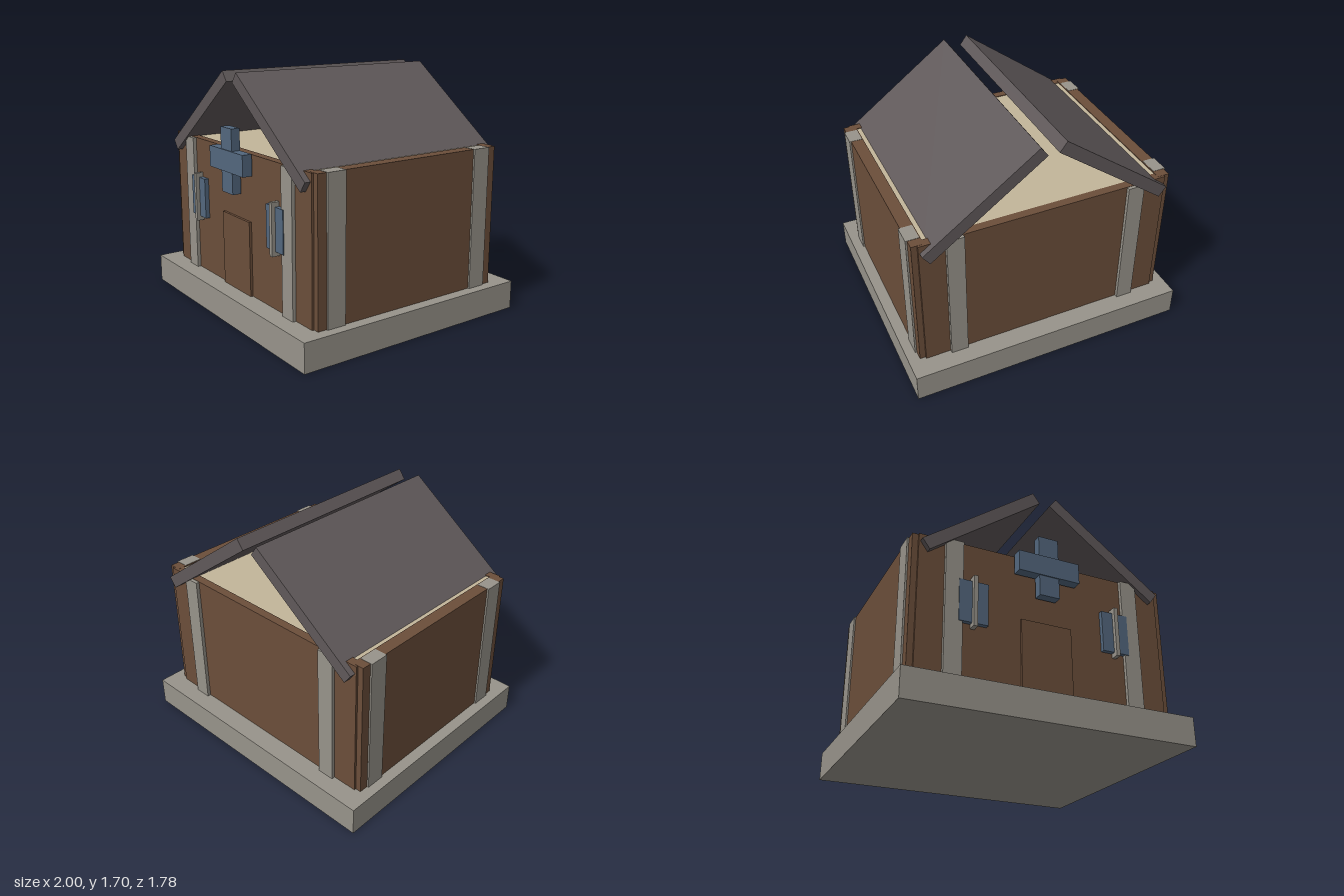
import * as THREE from 'three';

const flat = (name, color) => {
  const m = new THREE.MeshStandardMaterial({ color });
  m.name = name;
  return m;
};

export function createModel() {
  const stone = flat('stone', 0x97938a);
  const wood = flat('brown wood', 0x6b4e3a);
  const blue = flat('blue paint', 0x53677e);
  const slate = flat('roof slate', 0x5f5859);
  const plaster = flat('cream plaster', 0xc2b59a);

  const model = new THREE.Group();
  model.name = 'house';

  // Box given by its extents on each axis
  const box = (name, mat, [x0, x1], [y0, y1], [z0, z1]) => {
    const mesh = new THREE.Mesh(new THREE.BoxGeometry(x1 - x0, y1 - y0, z1 - z0), mat);
    mesh.position.set((x0 + x1) / 2, (y0 + y1) / 2, (z0 + z1) / 2);
    mesh.name = name;
    model.add(mesh);
    return mesh;
  };
  // Extent mirrored to the side given by s
  const side = (s, a, b) => (s > 0 ? [a, b] : [-b, -a]);

  // Foundation and plastered core with its flat ceiling
  box('foundation', stone, [-1, 1], [0, 0.2], [-0.89, 0.89]);
  box('ceiling', plaster, [-0.834, 0.834], [0.2, 1.174], [-0.69, 0.69]);

  for (const s of [1, -1]) {
    const lr = s > 0 ? 'left' : 'right';
    const fb = s > 0 ? 'front' : 'back';

    // Walls
    box(fb + 'Wall', wood, [-0.88, 0.88], [0.2, 1.179], side(s, 0.69, 0.75));
    box(lr + 'Wall', wood, side(s, 0.834, 0.92), [0.2, 1.18], [-0.735, 0.735]);

    // Stone pillars on all four walls
    for (const t of [1, -1]) {
      box(fb + 'Pillar', stone, side(t, 0.585, 0.705), [0.2, 1.177], side(s, 0.7, 0.775));
      box(lr + 'Pillar', stone, side(s, 0.84, 0.932), [0.2, 1.182], side(t, 0.535, 0.67));
    }

    // Front windows with a central bar
    box(lr + 'Window', blue, side(s, 0.415, 0.613), [0.613, 0.903], [0.74, 0.781]);
    box(lr + 'WindowBar', stone, side(s, 0.498, 0.526), [0.582, 0.935], [0.74, 0.808]);

    // Sloping roof panel, open at the ridge
    const roof = box(lr + 'RoofPanel', slate, [-0.485, 0.485], [-0.0425, 0.0425], [-0.79, 0.79]);
    roof.position.set(s * 0.454, 1.3775, 0);
    roof.rotation.z = -s * 0.633;
  }

  // Door
  box('door', wood, [-0.18, 0.18], [0.2, 0.72], [0.74, 0.768]);

  // Cross sign above the door
  box('signUpright', blue, [-0.072, 0.072], [0.893, 1.335], [0.762, 0.825]);
  box('signCrossbar', blue, [-0.222, 0.222], [1.04, 1.186], [0.762, 0.832]);

  return model;
}
